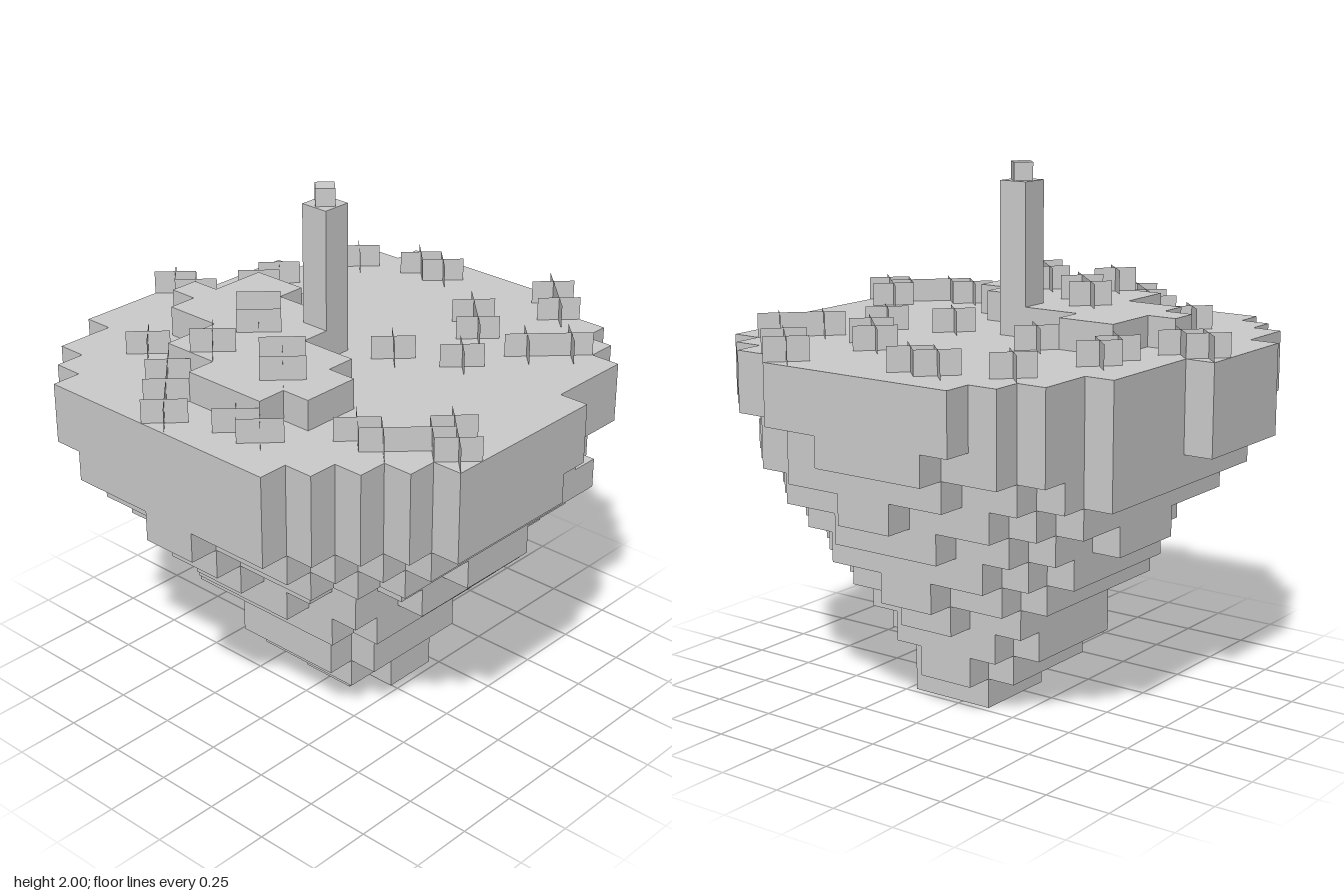
import * as THREE from 'three';

const U = 0.1137;            // block size
const OX = -0.003, OZ = -0.008;

// top outline of the island: [first, end) block per row, back (-8) to front (7)
const OUTLINE = [
  [-4, 0], [-6, 4], [-7, 6], [-8, 7], [-8, 8], [-8, 8], [-8, 8], [-8, 8],
  [-8, 8], [-8, 8], [-8, 8], [-8, 7], [-7, 7], [-6, 6], [-5, 5], [-4, 2],
];
// raised terrace rows, back (-6) to front (2)
const TERRACE = [[-2, -1], [-3, 1], [-3, 1], [-5, 0], [-5, 0], [-6, 0], [-6, -2], [-6, -2], [-5, -3]];
// round tapering layers from the bottom: radius, centre x, z limit (in blocks)
const LAYERS = [
  [2.1, 0.1, 2], [2.5, 0.1, 2], [3.1, 0.1, 3], [3.48, 0.1, 3], [4.5, 0.1, 4],
  [5.1, 0.1, 5], [5.7, 0.1, 6], [6.6, 0, 6], [7.45, -0.1, 7], [8.2, -0.3, 8],
];

const inRows = (rows, first, i, k) => {
  const row = rows[k - first];
  return !!row && i >= row[0] && i < row[1];
};

function inIsland(i, j, k) {
  if (j < 0 || j > 11 || !inRows(OUTLINE, -8, i, k)) return false;
  if (j > 9) return true;
  // lopsided tip
  if (j === 0) return i >= -1 && i < 2 && k >= -1 && k < 2 && !(i < 0 && k > 0);
  const [radius, cx, zLimit] = LAYERS[j];
  if (k < -zLimit || k >= zLimit) return false;
  const chipped = j === 9 && i > 0 && k > 0 ? 0.8 : 0;
  return Math.hypot(i + 0.5 - cx, k + 0.5) <= radius - chipped;
}
const inTerrace = (i, j, k) => j === 12 && inRows(TERRACE, -6, i, k);

// joins blocks into one shell, keeping only the outer faces
function blockShell(name, inside, material) {
  const positions = [], normals = [];
  for (let j = 0; j < 13; j++) for (let k = -8; k < 8; k++) for (let i = -8; i < 8; i++) {
    if (!inside(i, j, k)) continue;
    for (let axis = 0; axis < 3; axis++) for (const s of [-1, 1]) {
      const n = [0, 0, 0];
      n[axis] = s;
      if (inside(i + n[0], j + n[1], k + n[2])) continue;
      const a = (axis + 1) % 3, b = (axis + 2) % 3;
      const corners = [[0, 0], [1, 0], [1, 1], [0, 1]].map(([u, v]) => {
        const p = [i, j, k];
        p[axis] += s > 0 ? 1 : 0;
        p[a] += u;
        p[b] += v;
        return [p[0] * U + OX, p[1] * U, p[2] * U + OZ];
      });
      if (s < 0) corners.reverse();
      for (const c of [0, 1, 2, 0, 2, 3]) {
        positions.push(...corners[c]);
        normals.push(...n);
      }
    }
  }
  const g = new THREE.BufferGeometry();
  g.setAttribute('position', new THREE.Float32BufferAttribute(positions, 3));
  g.setAttribute('normal', new THREE.Float32BufferAttribute(normals, 3));
  const mesh = new THREE.Mesh(g, material);
  mesh.name = name;
  return mesh;
}

export function createModel() {
  const group = new THREE.Group();
  group.name = 'floatingIsland';
  const stone = new THREE.MeshStandardMaterial({ color: 0xcccccc, side: THREE.DoubleSide });
  stone.name = 'pale grey';

  group.add(blockShell('islandRock', inIsland, stone));
  group.add(blockShell('terrace', inTerrace, stone));

  // pillar with a small turned lantern on top
  const cx = -0.5 * U + OX, cz = -0.5 * U + OZ;
  const pillar = new THREE.Mesh(new THREE.BoxGeometry(U, 5 * U, U), stone);
  pillar.name = 'pillar';
  pillar.position.set(cx, 14.5 * U, cz);
  const lantern = new THREE.Mesh(new THREE.BoxGeometry(0.07, 0.067, 0.07), stone);
  lantern.name = 'lantern';
  lantern.position.set(cx, 17 * U + 0.0335, cz);
  lantern.rotation.y = Math.PI / 4;
  group.add(pillar, lantern);

  // grass tufts: two crossed upright planes on the block diagonals
  const blade = new THREE.PlaneGeometry(U * Math.SQRT2, 0.09);
  const tufts = [
    [3, 4], [4, 5], [6, 3], [7, 2], [1, 3], [0, 1], [3, 2], [4, 1],
    [6, -2], [6, -3], [5, -5], [-4, 7], [-4, 6], [-3, 6], [-5, 5], [-5, 4],
    [-7, 2], [-7, 1], [1, -3], [2, -6], [1, -6], [-1, -7], [-1, -8],
    [-8, -1], [-7, -2], [-6, -3], [-5, -5],
    [-5, 1], [-4, 0], [-3, -2], [-5, -2], [-2, -3],
  ];
  for (const [i, k] of tufts) {
    const tuft = new THREE.Group();
    tuft.name = 'grassTuft';
    const ground = inTerrace(i, 12, k) ? 13 * U : 12 * U;
    tuft.position.set((i + 0.5) * U + OX, ground + 0.045, (k + 0.5) * U + OZ);
    for (const turn of [1, -1]) {
      const mesh = new THREE.Mesh(blade, stone);
      mesh.name = 'grassBlade';
      mesh.rotation.y = turn * Math.PI / 4;
      tuft.add(mesh);
    }
    group.add(tuft);
  }
  return group;
}
